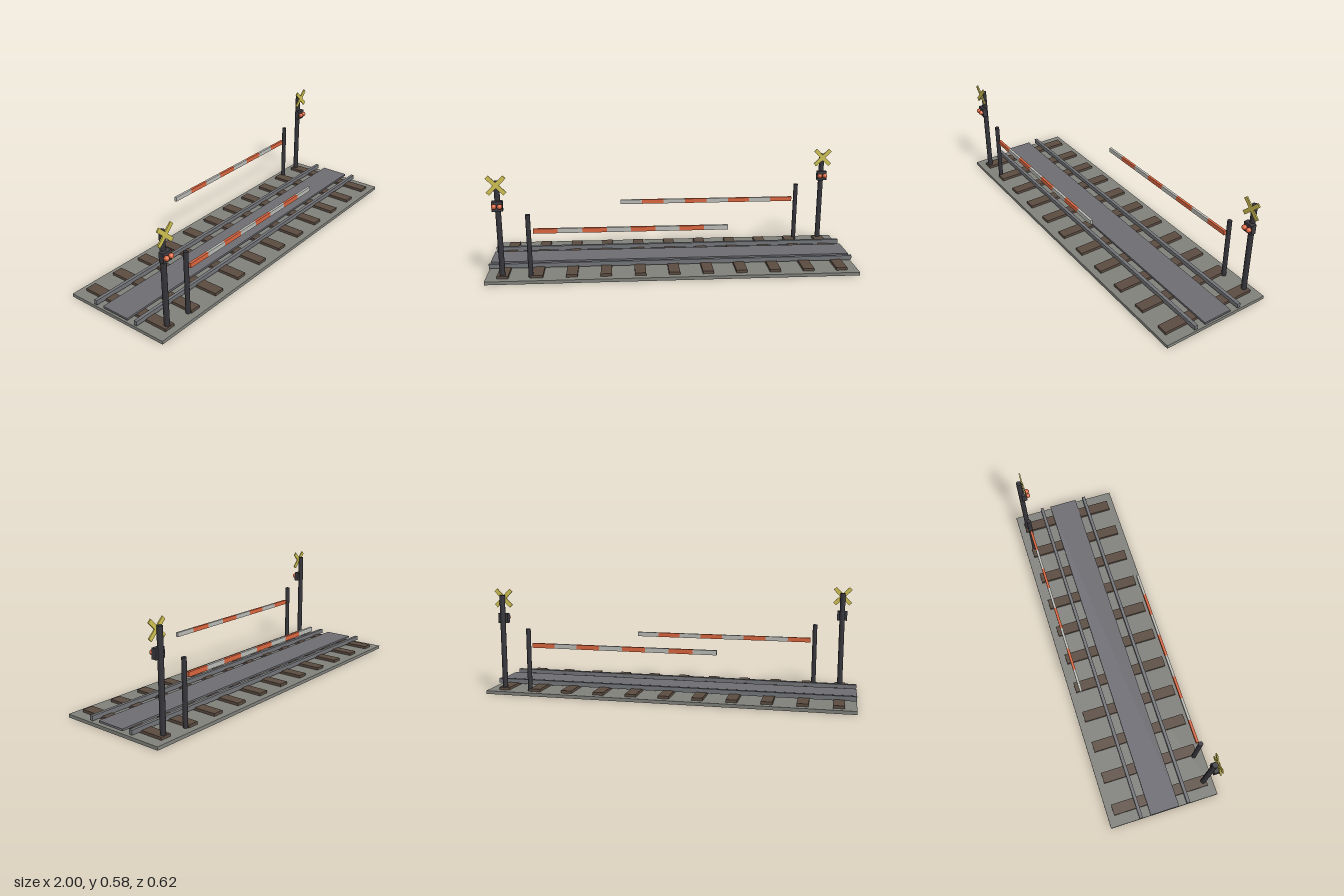
import * as THREE from 'three';

const mat = (color) => new THREE.MeshStandardMaterial({ color });
const M = {
  ballast: mat(0x80807b), wood: mat(0x5a4b40), slab: mat(0x6c6c72), steel: mat(0x727478),
  post: mat(0x34343a), housing: mat(0x3a3a40), red: mat(0xd9653f), white: mat(0xb9b9b5), yellow: mat(0xcfc052),
};

function add(parent, name, geometry, material, x, y, z) {
  const mesh = new THREE.Mesh(geometry, material);
  mesh.name = name;
  mesh.position.set(x, y, z);
  parent.add(mesh);
  return mesh;
}
const box = (w, h, d) => new THREE.BoxGeometry(w, h, d);

// Upright cylinder between two heights
function addPost(parent, name, radius, bottom, top) {
  add(parent, name, new THREE.CylinderGeometry(radius, radius, top - bottom, 24), M.post, 0, (top + bottom) / 2, 0);
}

// Post with a crossed sign and a pair of lamps, facing +z
function makeSignal() {
  const g = new THREE.Group();
  g.name = 'signal';
  addPost(g, 'signalPost', 0.0145, 0.018, 0.546);
  for (const s of [-1, 1]) {
    const board = add(g, 'crossBoard', box(0.124, 0.022, 0.007), M.yellow, 0, 0.528, 0.019);
    board.rotation.z = s * Math.PI / 4;
    add(g, 'lamp', new THREE.SphereGeometry(0.0135, 20, 14), M.red, s * 0.0145, 0.42, 0.0365);
  }
  add(g, 'lampHousing', box(0.055, 0.053, 0.028), M.housing, 0, 0.4185, 0.0145);
  return g;
}

// Post with a striped arm reaching out along dir
function makeBarrier(dir) {
  const g = new THREE.Group();
  g.name = 'barrier';
  addPost(g, 'barrierPost', 0.0125, 0, 0.365);
  const step = 0.1275;
  for (let i = 0; i < 8; i++) {
    add(g, 'armStripe', box(step, 0.025, 0.014), i % 2 ? M.white : M.red, dir * (0.024 + step * (i + 0.5)), 0.2745, 0);
  }
  return g;
}

export function createModel() {
  const model = new THREE.Group();
  model.name = 'levelCrossing';

  // Track bed, sleepers, rails and the slab between them
  add(model, 'trackBed', box(2, 0.018, 0.618), M.ballast, 0, 0.009, 0);
  for (let i = -5; i <= 5; i++) {
    add(model, 'sleeper', box(0.06, 0.015, 0.545), M.wood, i * 0.182, 0.0255, 0);
  }
  for (const s of [-1, 1]) {
    add(model, 'rail', box(2, 0.025, 0.018), M.steel, 0, 0.0405, s * 0.1365);
  }
  add(model, 'crossingSlab', box(2, 0.011, 0.164), M.slab, 0, 0.037, 0);

  // Equipment at opposite corners
  for (const s of [-1, 1]) {
    const signal = makeSignal();
    signal.position.set(s * 0.91, 0, -s * 0.2545);
    const barrier = makeBarrier(-s);
    barrier.position.set(s * 0.762, 0, -s * 0.2545);
    model.add(signal, barrier);
  }
  return model;
}
